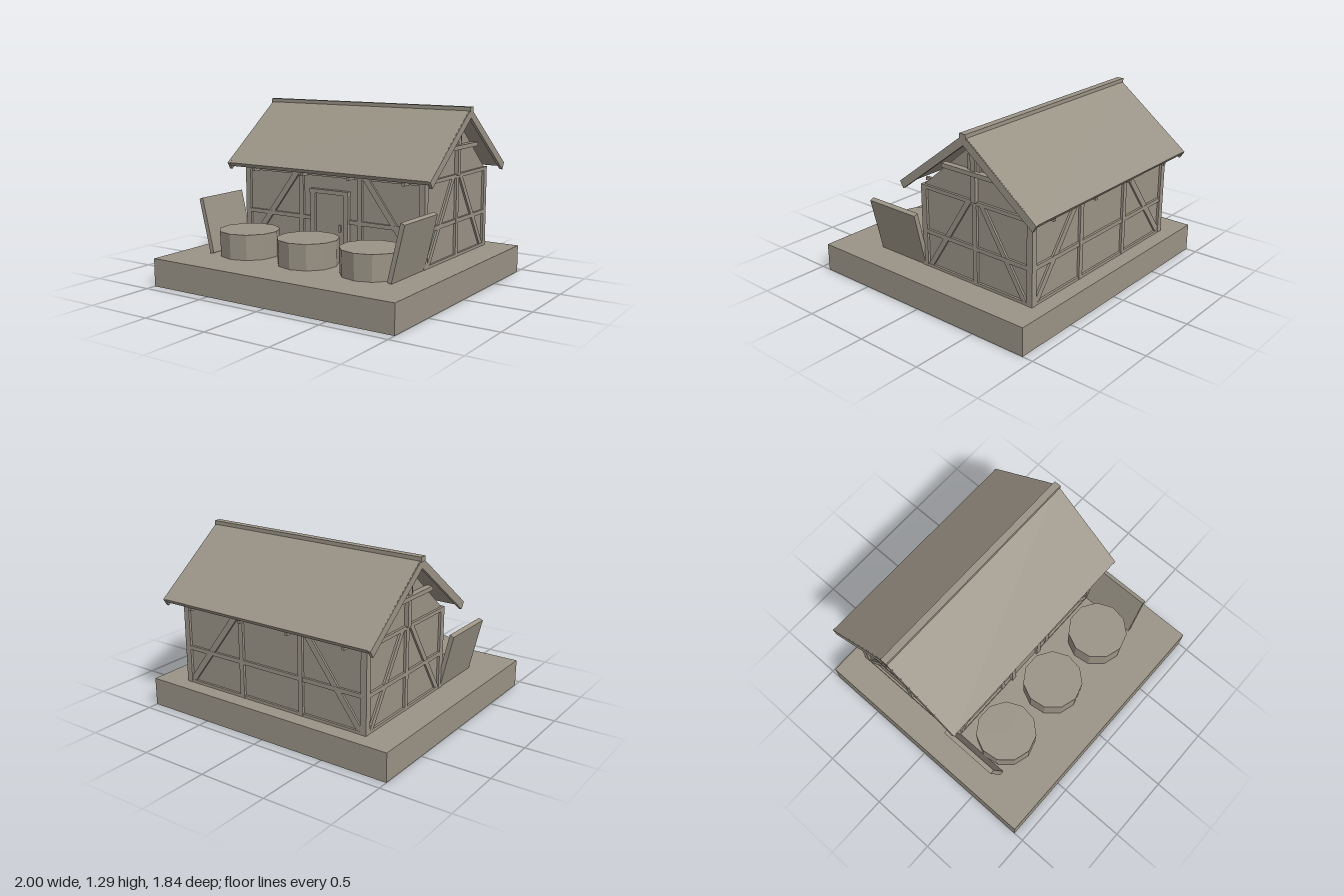
import * as THREE from 'three';

const stone = new THREE.MeshStandardMaterial({ color: 0x9a9386 });
stone.name = 'warm grey';

const MID_Z = -0.33; // ridge line of the house

function add(parent, name, geometry) {
  const mesh = new THREE.Mesh(geometry, stone);
  mesh.name = name;
  parent.add(mesh);
  return mesh;
}

// Box given by its minimum and maximum corners
function box(parent, name, x0, x1, y0, y1, z0, z1) {
  const mesh = add(parent, name, new THREE.BoxGeometry(x1 - x0, y1 - y0, z1 - z0));
  mesh.position.set((x0 + x1) / 2, (y0 + y1) / 2, (z0 + z1) / 2);
  return mesh;
}

function extrude(points, depth) {
  const shape = new THREE.Shape(points.map(([x, y]) => new THREE.Vector2(x, y)));
  return new THREE.ExtrudeGeometry(shape, { depth, bevelEnabled: false });
}

// House cross-section pulled along x from x0 to x1
function alongX(parent, name, points, x0, x1) {
  const mesh = add(parent, name, extrude(points, x1 - x0));
  mesh.rotation.y = Math.PI / 2;
  mesh.position.set(x0, 0, MID_Z);
  return mesh;
}

// Slanted timber with level ends
function brace(parent, top, bottom, yTop, yBottom, width, depth) {
  add(parent, 'brace', extrude([
    [top - width / 2, yTop], [bottom - width / 2, yBottom],
    [bottom + width / 2, yBottom], [top + width / 2, yTop],
  ], depth));
}

// Inverted V section of the roof
function chevron(outerW, outerY, outerPeak, innerW, innerY, innerPeak) {
  return [[outerW, outerY], [0, outerPeak], [-outerW, outerY],
    [-innerW, innerY], [0, innerPeak], [innerW, innerY]];
}

// Timber frame of one wall, lying in its own xy plane
function wallFrame(half, posts, railSpans, braces) {
  const g = new THREE.Group();
  const d = 0.018;
  for (const s of [-1, 1]) {
    const x = s * (half - 0.0225);
    box(g, 'cornerPost', x - 0.0225, x + 0.0225, 0.2, 0.81, 0, d);
    for (const [top, bottom, width] of braces) {
      brace(g, s * top, s * bottom, 0.785, 0.225, width, d * 0.8);
    }
  }
  for (const x of posts) box(g, 'post', x - 0.018, x + 0.018, 0.2, 0.79, 0, d);
  box(g, 'topBeam', -half + 0.04, half - 0.04, 0.783, 0.81, 0, d);
  for (const [a, b] of railSpans) {
    box(g, 'middleRail', a, b, 0.455, 0.485, 0, d * 0.9);
    box(g, 'sillBeam', a, b, 0.2, 0.226, 0, d * 0.9);
  }
  return g;
}

export function createModel() {
  const model = new THREE.Group();
  model.name = 'timberFrameHouse';
  box(model, 'groundSlab', -1, 1, 0, 0.205, -0.922, 0.922);

  // Walls with gables
  alongX(model, 'walls', [[-0.465, 0.2], [0.465, 0.2], [0.465, 0.81],
    [0, 1.205], [-0.465, 0.81]], -0.757, 0.757);

  // Long walls
  const longBraces = [[0.305, 0.725, 0.055]];
  const front = wallFrame(0.775, [-0.253, 0.253],
    [[-0.74, -0.26], [-0.24, -0.15], [0.15, 0.24], [0.26, 0.74]], longBraces);
  front.name = 'frontFrame';
  front.position.z = 0.135;
  const back = wallFrame(0.775, [-0.253, 0.253], [[-0.74, 0.74]], longBraces);
  back.name = 'backFrame';
  back.rotation.y = Math.PI;
  back.position.z = -0.795;
  model.add(front, back);

  // Gable walls with collar beam and king post
  for (const s of [-1, 1]) {
    const side = wallFrame(0.482, [0], [[-0.44, 0.44]], [[0.06, 0.415, 0.045]]);
    side.name = s > 0 ? 'leftFrame' : 'rightFrame';
    side.rotation.y = s * Math.PI / 2;
    side.position.set(s * 0.757, 0, MID_Z);
    box(side, 'kingPost', -0.02, 0.02, 0.8, 1.23, 0, 0.03);
    box(side, 'collarBeam', -0.26, 0.26, 0.988, 1.018, 0, 0.045);
    box(side, 'gableBlock', -0.053, 0.053, 1.018, 1.12, 0, 0.016);
    model.add(side);
  }

  // Door with frame and fittings
  const door = new THREE.Group();
  door.name = 'door';
  box(door, 'doorLeaf', -0.125, 0.125, 0.2, 0.66, 0.13, 0.145);
  for (const s of [-1, 1]) box(door, 'doorJamb', s * 0.143 - 0.02, s * 0.143 + 0.02, 0.2, 0.665, 0.13, 0.165);
  box(door, 'doorLintel', -0.165, 0.165, 0.66, 0.69, 0.13, 0.172);
  box(door, 'doorHandle', 0.08, 0.095, 0.39, 0.44, 0.14, 0.158);
  model.add(door);

  // Roof, barge boards, ridge and joist ends
  alongX(model, 'roof', chevron(0.583, 0.835, 1.283, 0.563, 0.808, 1.244), -0.863, 0.863);
  for (const s of [-1, 1]) {
    alongX(model, 'bargeBoard', chevron(0.586, 0.833, 1.28, 0.556, 0.785, 1.212),
      s * 0.858 - 0.011, s * 0.858 + 0.011);
  }
  box(model, 'ridgeBeam', -0.873, 0.873, 1.255, 1.29, MID_Z - 0.026, MID_Z + 0.026);
  for (const x of [-0.645, -0.2, 0.2, 0.645]) {
    box(model, 'joist', x - 0.011, x + 0.011, 0.783, 0.806, -0.885, 0.225);
  }

  // Leaning boards beside the front yard
  for (const s of [-1, 1]) {
    const points = [[0.738, 0.213], [0.77, 0.205], [0.865, 0.602], [0.833, 0.614]];
    if (s < 0) points.reverse();
    const board = add(model, 'leaningBoard', extrude(points.map(([x, y]) => [s * x, y]), 0.44));
    board.position.z = 0.138;
  }

  // Round tubs in front
  for (const x of [-0.525, 0, 0.525]) {
    const geometry = new THREE.CylinderGeometry(0.223, 0.218, 0.19, 11).toNonIndexed();
    geometry.computeVertexNormals();
    add(model, 'tub', geometry).position.set(x, 0.295, 0.422);
  }
  return model;
}
